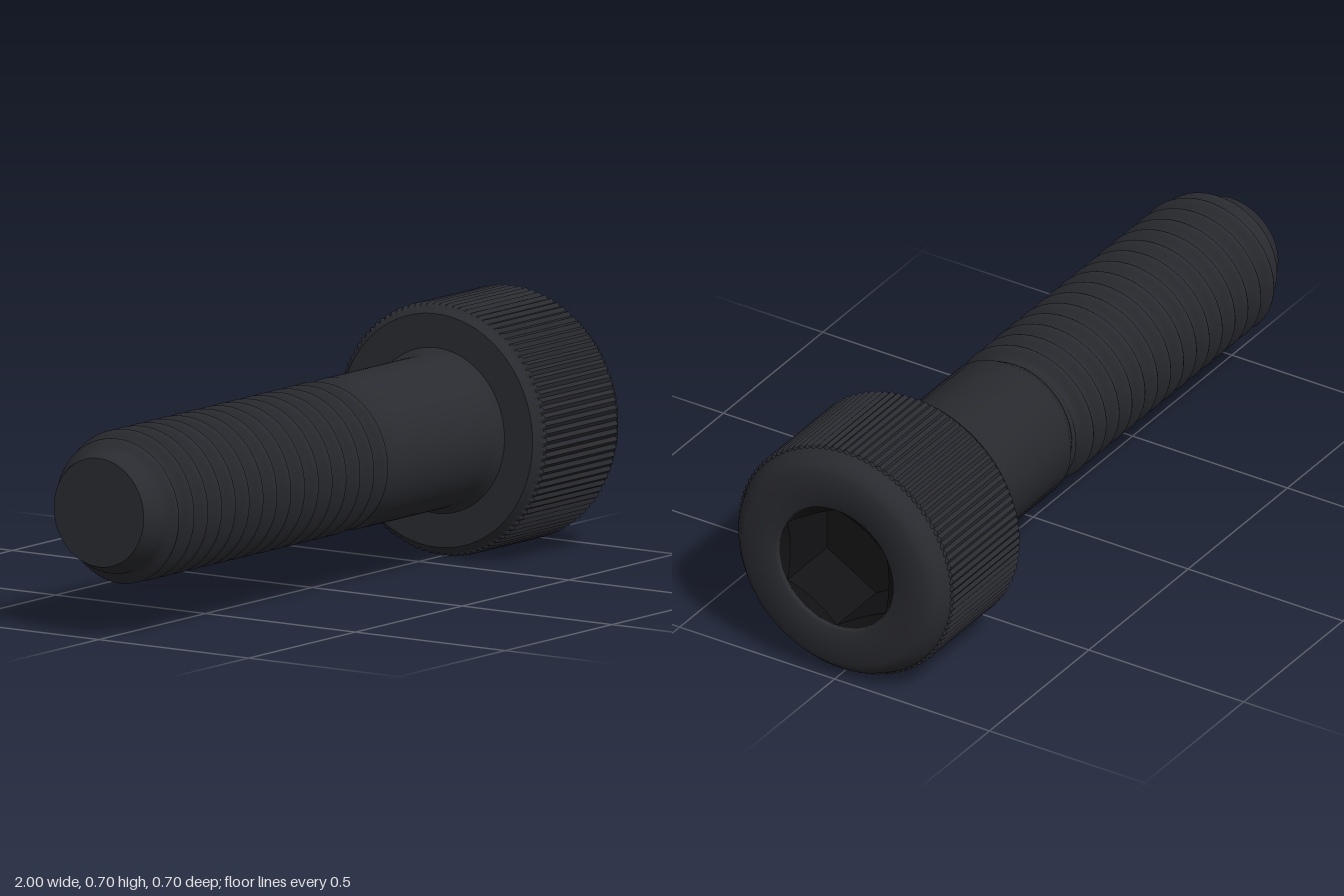
import * as THREE from 'three';
import { mergeVertices, toCreasedNormals } from 'three/addons/utils/BufferGeometryUtils.js';

const AXIS_Y = 0.35;
const steel = new THREE.MeshStandardMaterial({ color: 0x2a2b30 });
const dark = new THREE.MeshStandardMaterial({ color: 0x131315 });

// Skin of rings around the x axis; fn(row, angle, column) returns [x, radius].
function ringSkin(rows, cols, fn) {
  const pos = [], index = [];
  for (let i = 0; i < rows; i++) {
    for (let j = 0; j <= cols; j++) {
      const a = (j / cols) * Math.PI * 2;
      const [x, r] = fn(i, a, j);
      pos.push(x, r * Math.cos(a), r * Math.sin(a));
      if (i < rows - 1 && j < cols) {
        const p = i * (cols + 1) + j, q = p + cols + 1;
        index.push(p, p + 1, q, p + 1, q + 1, q);
      }
    }
  }
  const g = new THREE.BufferGeometry();
  g.setAttribute('position', new THREE.Float32BufferAttribute(pos, 3));
  g.setIndex(index);
  return g;
}

// Turned part along the x axis from [x, radius] points, with sharp creases kept.
function turned(points) {
  const g = new THREE.LatheGeometry(points.map(([x, r]) => new THREE.Vector2(r, x)), 96);
  g.rotateZ(-Math.PI / 2);
  return toCreasedNormals(g, 0.65);
}

// Helical thread: rows follow the helix, so crests and roots stay crisp.
function threadGeometry() {
  const x0 = -1, x1 = 0.1, pitch = 0.0648, perPitch = 12, crest = -0.866;
  const rows = Math.ceil((x1 - x0) / pitch + 1) * perPitch + 1;
  const g = ringSkin(rows, 64, (i, a) => {
    const u = x0 - pitch + (i / perPitch) * pitch;
    const x = THREE.MathUtils.clamp(u + (pitch * a) / (Math.PI * 2), x0, x1);
    const phase = ((u - crest) / pitch) * Math.PI * 2;
    const wave = Math.pow(0.5 + 0.5 * Math.cos(phase), 1.4);
    const fade = THREE.MathUtils.smoothstep(x, -0.97, -0.89) * (1 - THREE.MathUtils.smoothstep(x, 0.06, 0.1));
    const core = Math.min(0.15 + (x + 1) * 0.42, 0.176);
    return [x, core + 0.035 * fade * wave];
  });
  const welded = mergeVertices(g, 1e-4);
  welded.computeVertexNormals();
  return welded;
}

// Fine straight ridges around the head.
function knurlGeometry() {
  const ridges = 100;
  const xs = [0.595, 0.61, 0.942, 0.952];
  const g = ringSkin(4, ridges * 2, (i, a, j) => {
    const edge = i === 0 || i === 3;
    return [xs[i], edge ? 0.334 : j % 2 ? 0.343 : 0.35];
  });
  return toCreasedNormals(g, 0.2);
}

// Hexagonal socket with a conical lead-in; corners point up and down.
function socketGeometry() {
  const hex = (a) => 0.159 / Math.cos((a % (Math.PI / 3)) - Math.PI / 6);
  const g = ringSkin(4, 72, (i, a) => {
    const h = hex(a);
    if (i === 0) return [0.99, 0.184];
    if (i === 1) return [0.99 - (0.184 - h) * 0.6, h];
    return [0.79, i === 2 ? h : 0];
  });
  return toCreasedNormals(g, 0.5);
}

export function createModel() {
  const model = new THREE.Group();
  model.name = 'socketHeadBolt';
  const add = (name, geometry, material = steel) => {
    const mesh = new THREE.Mesh(geometry, material);
    mesh.name = name;
    mesh.position.y = AXIS_Y;
    model.add(mesh);
  };

  // Threaded end and its flat tip
  add('thread', threadGeometry());
  add('tip', turned([[-1, 0], [-1, 0.15]]));

  // Plain shank with run-out bevel and fillet under the head
  add('shank', turned([[0.085, 0.172], [0.095, 0.186], [0.137, 0.21], [0.55, 0.21], [0.565, 0.216], [0.582, 0.23]]));

  // Head with bevelled rim, open in the middle for the socket
  add('head', turned([
    [0.58, 0.2], [0.58, 0.322], [0.605, 0.342], [0.945, 0.342], [0.97, 0.33],
    [0.99, 0.312], [1, 0.293], [1, 0.192], [0.997, 0.187], [0.99, 0.184],
  ]));
  add('knurl', knurlGeometry());
  add('hexSocket', socketGeometry(), dark);

  return model;
}
